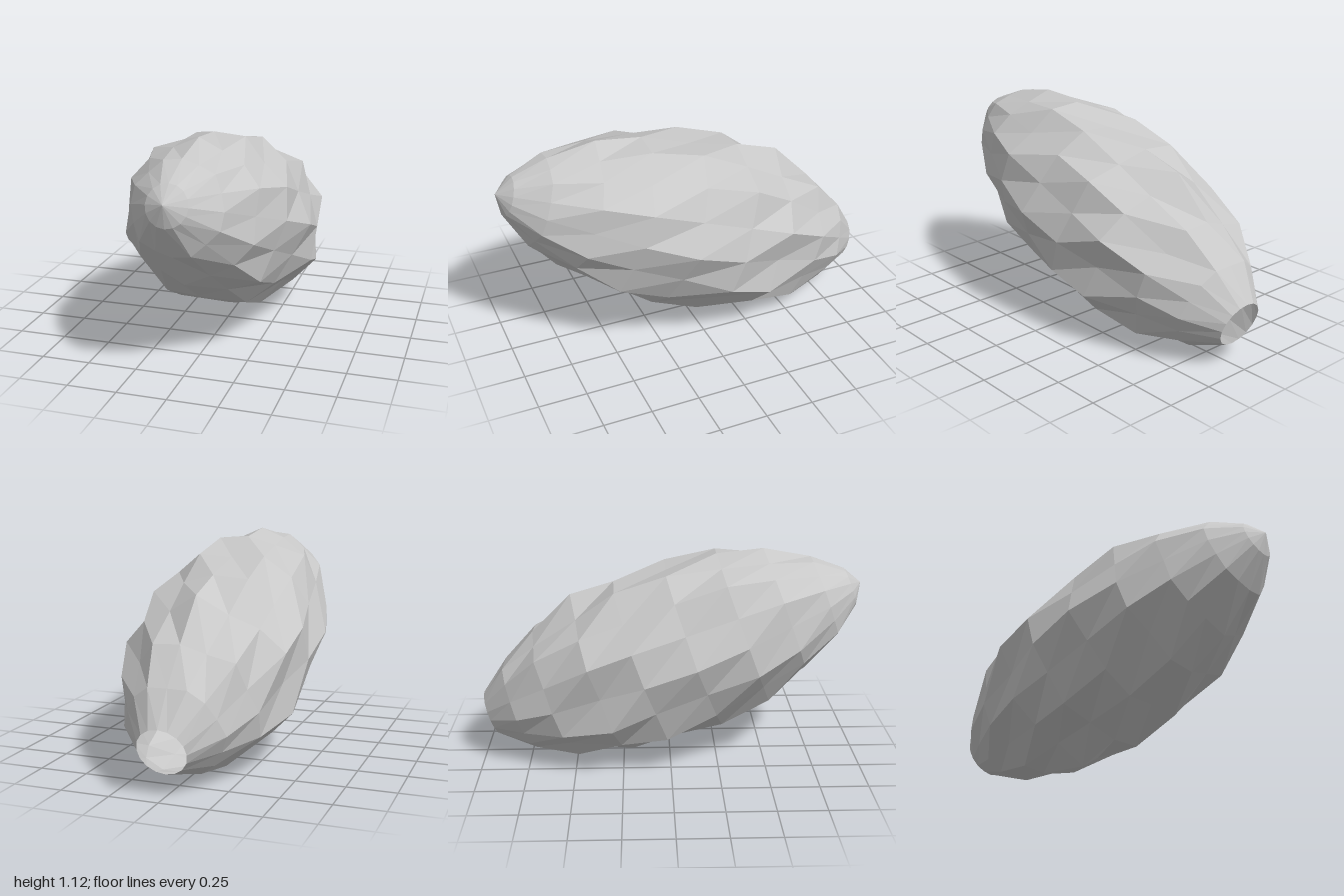
import * as THREE from 'three';

const SIDES = 16, BUMPS = 6;

// Rings from tip to open base: [position along axis, mean radius, bump strength]
const RINGS = [
  [1.044, 0, 0], [0.985, 0.102, 0], [0.84, 0.225, 0.04], [0.622, 0.333, 0.057],
  [0.385, 0.41, 0.065], [0.11, 0.447, 0.062], [-0.168, 0.457, 0.065], [-0.406, 0.43, 0.095],
  [-0.667, 0.35, 0.08], [-0.875, 0.25, 0.04], [-1.039, 0.125, 0],
];

// Point on a ring; the bumps wind a quarter wave further on each ring
function ringPoint(i, j) {
  const [z, mean, strength] = RINGS[i];
  const a = (j / SIDES) * Math.PI * 2;
  const r = mean * (1 + strength * Math.cos(BUMPS * a - (i - 3) * Math.PI / 2));
  return [r * Math.sin(a), r * Math.cos(a), z];
}

// Faceted shell, open at the blunt end
function shellGeometry() {
  const pos = [];
  for (let i = 0; i < RINGS.length - 1; i++) {
    for (let j = 0; j < SIDES; j++) {
      const a = ringPoint(i, j), b = ringPoint(i, j + 1);
      const c = ringPoint(i + 1, j + 1), d = ringPoint(i + 1, j);
      if (i > 0) pos.push(...a, ...b, ...d);
      pos.push(...b, ...c, ...d);
    }
  }
  const geometry = new THREE.BufferGeometry();
  geometry.setAttribute('position', new THREE.Float32BufferAttribute(pos, 3));
  geometry.computeVertexNormals();
  return geometry;
}

export function createModel() {
  const grey = new THREE.MeshStandardMaterial({
    color: 0xc8c8c8, flatShading: true, side: THREE.DoubleSide,
  });
  grey.name = 'light grey';

  // Scaly shell, tip tilted up towards the front
  const shell = new THREE.Mesh(shellGeometry(), grey);
  shell.name = 'scalyShell';
  shell.rotation.x = -THREE.MathUtils.degToRad(20);
  shell.position.set(0, 0.585, 0.02);

  const model = new THREE.Group();
  model.name = 'cone';
  model.add(shell);
  return model;
}
